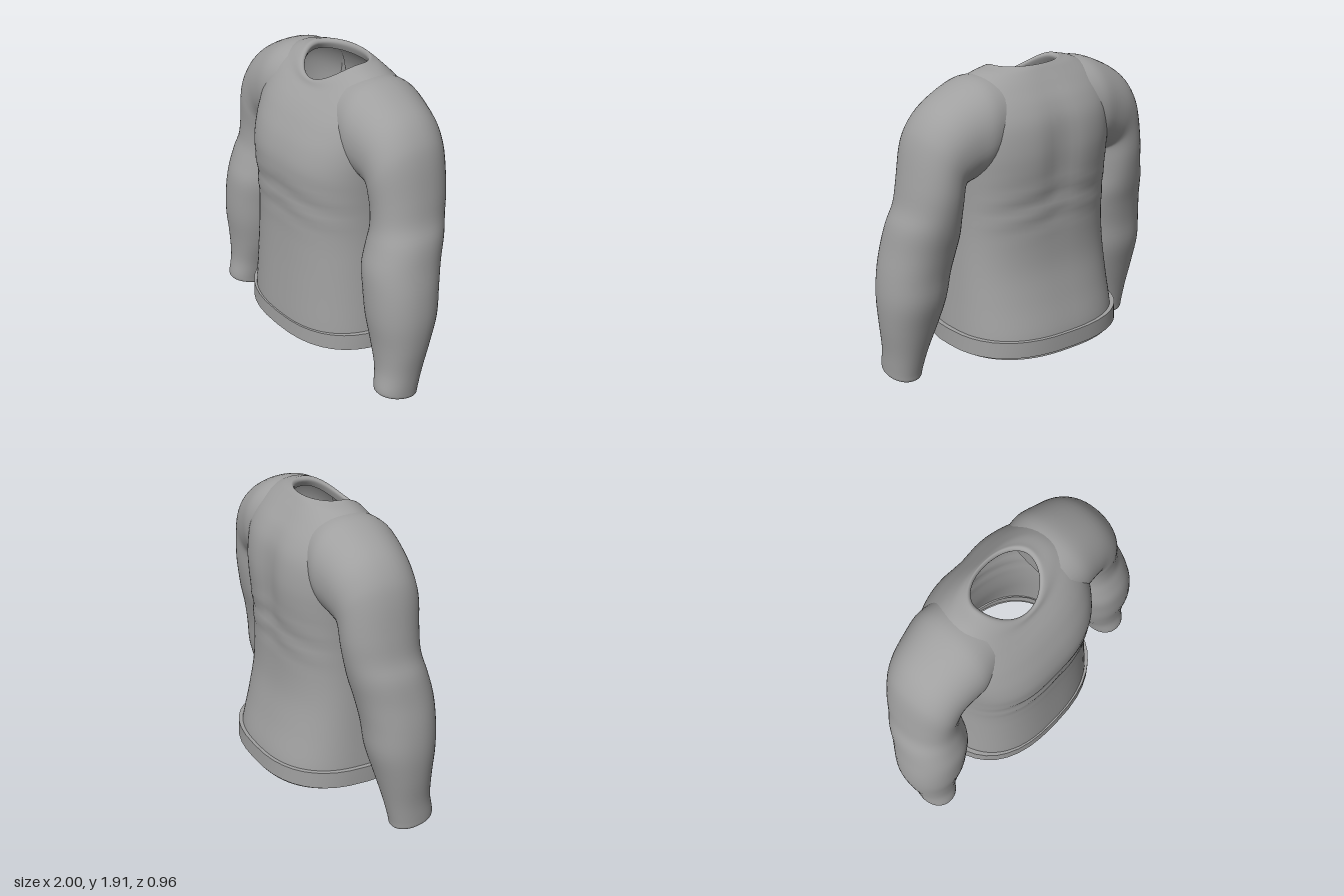
import * as THREE from 'three';

const knit = new THREE.MeshStandardMaterial({ color: 0xa0a0a0, side: THREE.DoubleSide });
knit.name = 'grey knit';

// Catmull-Rom interpolation through rows of numbers
function refine(rows, steps) {
  const out = [];
  for (let i = 0; i < rows.length - 1; i++) {
    const p0 = rows[Math.max(i - 1, 0)], p1 = rows[i], p2 = rows[i + 1], p3 = rows[Math.min(i + 2, rows.length - 1)];
    for (let s = 0; s < steps; s++) {
      const t = s / steps;
      out.push(p1.map((b, k) => {
        const a = p0[k], c = p2[k], d = p3[k];
        return b + 0.5 * t * (c - a + t * (2 * a - 5 * b + 4 * c - d + t * (3 * (b - c) + d - a)));
      }));
    }
  }
  out.push(rows[rows.length - 1]);
  return out;
}

// Skin a list of rings; point(row, c, s) gives a position on one ring
function loft(name, rows, sides, point, flip = false) {
  const pos = [], index = [];
  rows.forEach((row) => {
    for (let j = 0; j < sides; j++) {
      const a = (j / sides) * Math.PI * 2;
      pos.push(...point(row, Math.cos(a), Math.sin(a)));
    }
  });
  for (let i = 0; i < rows.length - 1; i++) {
    for (let j = 0; j < sides; j++) {
      const a = i * sides + j, b = i * sides + (j + 1) % sides, c = a + sides, d = b + sides;
      if (flip) index.push(a, b, c, b, d, c);
      else index.push(a, c, b, b, c, d);
    }
  }
  const geo = new THREE.BufferGeometry();
  geo.setAttribute('position', new THREE.Float32BufferAttribute(pos, 3));
  geo.setIndex(index);
  geo.computeVertexNormals();
  const mesh = new THREE.Mesh(geo, knit);
  mesh.name = name;
  return mesh;
}

const power = (v, n) => Math.sign(v) * Math.pow(Math.abs(v), 2 / n);
const bump = (v, centre, width) => Math.exp(-(((v - centre) / width) ** 2));

// Torso rings: side y, front y, back y, half width, front z, back z, squareness
const torsoRows = [
  [0.18, 0.18, 0.165, 0.565, 0.468, -0.46, 2.5],
  [0.30, 0.30, 0.30, 0.56, 0.466, -0.45, 2.5],
  [0.50, 0.50, 0.50, 0.545, 0.455, -0.40, 2.5],
  [0.70, 0.70, 0.70, 0.532, 0.445, -0.36, 2.5],
  [0.90, 0.90, 0.90, 0.522, 0.44, -0.35, 2.5],
  [1.10, 1.10, 1.10, 0.52, 0.445, -0.355, 2.6],
  [1.30, 1.30, 1.30, 0.53, 0.46, -0.375, 2.6],
  [1.45, 1.45, 1.45, 0.54, 0.43, -0.38, 2.6],
  [1.60, 1.58, 1.60, 0.54, 0.37, -0.358, 2.6],
  [1.72, 1.66, 1.71, 0.52, 0.32, -0.31, 2.5],
  [1.82, 1.715, 1.80, 0.46, 0.275, -0.245, 2.4],
  [1.88, 1.755, 1.87, 0.36, 0.24, -0.19, 2.2],
  [1.905, 1.785, 1.90, 0.27, 0.225, -0.165, 2.1],
  [1.912, 1.792, 1.91, 0.235, 0.21, -0.15, 2],
  [1.89, 1.775, 1.885, 0.218, 0.2, -0.14, 2],
  [1.85, 1.72, 1.84, 0.24, 0.215, -0.155, 2],
];

function torsoPoint([ys, yf, yb, w, zf, zb, n], c, s) {
  const x = w * power(c, n);
  const y = ys + ((s > 0 ? yf : yb) - ys) * s * s;
  let z = (s > 0 ? zf : -zb) * power(s, n);
  if (s < 0) z += 0.03 * bump(x, 0, 0.11) * bump(y, 1.4, 0.3) * -s; // spine groove
  // soft creases across the waist
  const crease = bump(y, 1.1, 0.13) * Math.sin(y * 42 + Math.abs(x) * 7);
  z += 0.006 * crease * s;
  return [x, y, z];
}

// Sleeve rings: outer x, outer y, inner x, inner y, front z, back z, cuff tilt
const sleeveRows = [
  [0.30, 1.87, 0.36, 1.32, 0.27, -0.28, 0],
  [0.42, 1.872, 0.44, 1.28, 0.285, -0.295, 0],
  [0.56, 1.82, 0.50, 1.26, 0.275, -0.28, 0],
  [0.70, 1.735, 0.52, 1.25, 0.265, -0.265, 0],
  [0.79, 1.625, 0.53, 1.245, 0.262, -0.25, 0],
  [0.838, 1.50, 0.532, 1.23, 0.26, -0.24, 0],
  [0.875, 1.30, 0.535, 1.16, 0.25, -0.23, 0],
  [0.90, 1.15, 0.535, 1.06, 0.255, -0.21, 0],
  [0.94, 1.03, 0.525, 0.95, 0.285, -0.185, 0],
  [0.965, 0.88, 0.53, 0.84, 0.318, -0.15, 0],
  [0.99, 0.72, 0.555, 0.70, 0.325, -0.12, 0],
  [1.0, 0.55, 0.58, 0.54, 0.32, -0.10, 0],
  [0.985, 0.37, 0.625, 0.37, 0.298, -0.05, 0],
  [0.96, 0.20, 0.685, 0.20, 0.29, 0, 0.01],
  [0.95, 0.075, 0.715, 0.075, 0.307, 0.032, 0.022],
  [0.945, 0.035, 0.722, 0.035, 0.305, 0.04, 0.025],
  [0.925, 0.026, 0.742, 0.026, 0.287, 0.058, 0.025],
  [0.91, 0.045, 0.755, 0.045, 0.275, 0.07, 0.025],
  [0.915, 0.16, 0.735, 0.16, 0.27, 0.04, 0.01],
];

function sleeve(name, side) {
  const point = ([ox, oy, ix, iy, zf, zb, tilt], c, s) => {
    const u = power(c, 2.15), v = power(s, 2.15);
    return [
      side * ((ox + ix) / 2 + (ox - ix) / 2 * u),
      (oy + iy) / 2 + (oy - iy) / 2 * u + tilt * v,
      (zf + zb) / 2 + (zf - zb) / 2 * v,
    ];
  };
  return loft(name, refine(sleeveRows, 4), 48, point, side > 0);
}

// Hem band: each surface has its own rings so the edges stay sharp
function hemBand() {
  const band = new THREE.Group();
  band.name = 'hemBand';
  const bottom = [0.195, 0.18, 0.185, 0.592, 0.48, -0.477, 2.5];
  const top = [0.30, 0.275, 0.285, 0.59, 0.478, -0.475, 2.5];
  const seam = [0.30, 0.275, 0.285, 0.555, 0.455, -0.44, 2.5];
  const under = [0.195, 0.18, 0.185, 0.56, 0.46, -0.45, 2.5];
  band.add(loft('hemOutside', [bottom, top], 40, torsoPoint));
  band.add(loft('hemTopEdge', [top, seam], 40, torsoPoint));
  band.add(loft('hemBottomEdge', [under, bottom], 40, torsoPoint));
  return band;
}

export function createModel() {
  const sweater = new THREE.Group();
  sweater.name = 'sweater';
  sweater.add(
    loft('torso', refine(torsoRows, 5), 80, torsoPoint),
    sleeve('leftSleeve', 1),
    sleeve('rightSleeve', -1),
    hemBand(),
  );
  return sweater;
}
